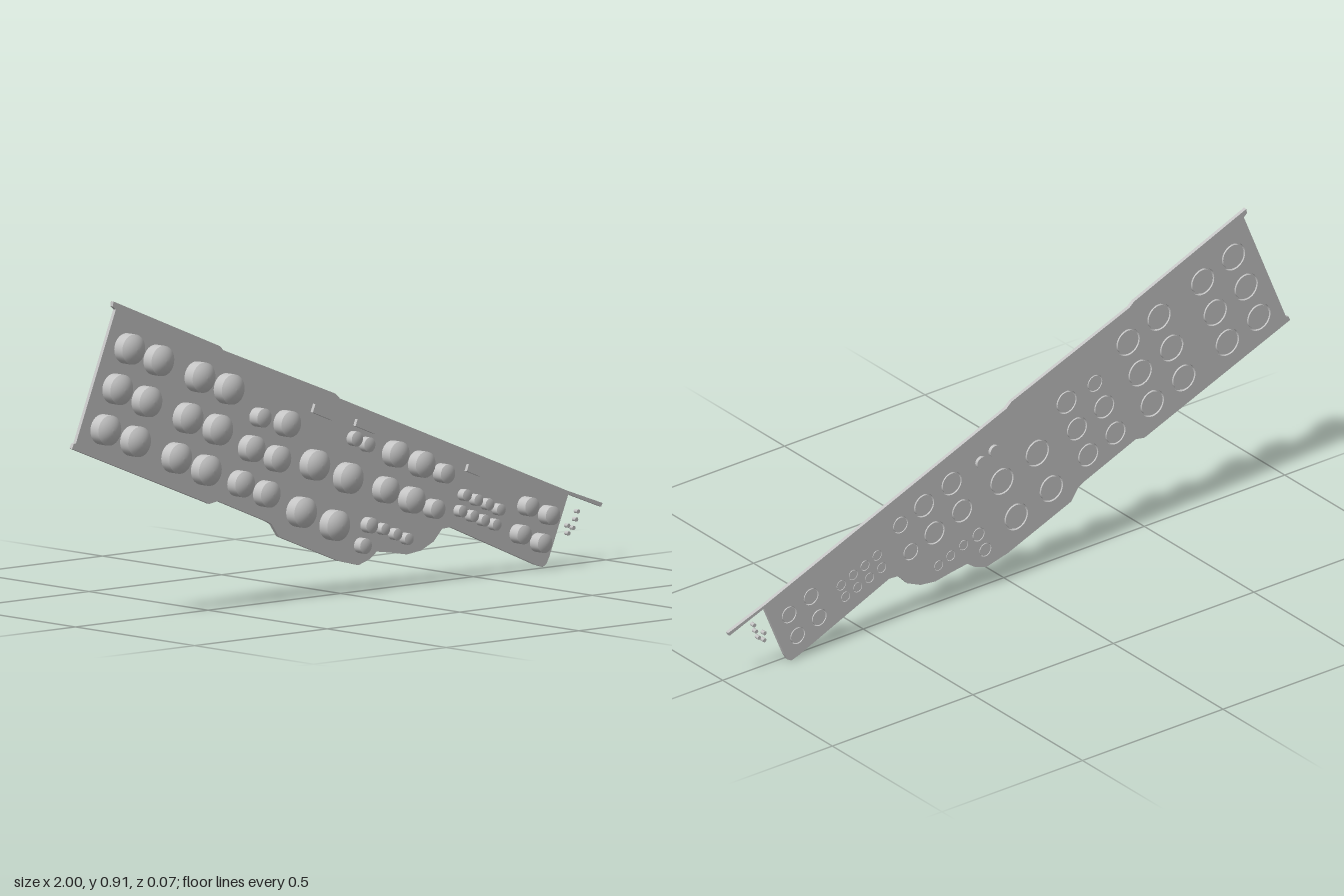
import * as THREE from 'three';

const BACK = -0.025, FRONT = -0.014, TILT = -0.383;

// Outline of the slanted panel, clockwise from the upper corner
const OUTLINE = [
  [-0.844, 0.906], [-0.444, 0.742], [-0.428, 0.728], [-0.008, 0.566], [0.01, 0.55],
  [0.871, 0.206], [1.0, 0.16], [0.995, 0.15], [0.871, 0.197], [0.799, 0.026],
  [0.788, 0.007], [0.775, 0], [0.747, 0.009], [0.427, 0.146], [0.395, 0.144],
  [0.363, 0.111], [0.315, 0.09], [0.262, 0.084], [0.202, 0.095], [0.149, 0.103],
  [0.122, 0.084], [0.08, 0.071], [0.037, 0.082], [0.005, 0.09], [-0.22, 0.18],
  [-0.247, 0.218], [-0.268, 0.229], [-0.45, 0.303], [-0.482, 0.298], [-0.509, 0.309],
  [-1.0, 0.503], [-0.994, 0.516], [-0.985, 0.518], [-0.835, 0.882], [-0.846, 0.892],
];

// Knob groups: radius, front of the straight side, [x, y] centres
const KNOBS = [
  { name: 'largeKnob', r: 0.043, z: 0.02, at: [
    [-0.798, 0.769], [-0.688, 0.726], [-0.843, 0.659], [-0.733, 0.614], [-0.888, 0.548], [-0.776, 0.505],
    [-0.533, 0.664], [-0.423, 0.62], [-0.578, 0.552], [-0.466, 0.509], [-0.621, 0.443], [-0.509, 0.398],
    [-0.1, 0.374], [0.026, 0.325], [-0.15, 0.245], [-0.025, 0.196]] },
  { name: 'mediumKnob', r: 0.037, z: 0.02, at: [
    [-0.204, 0.501], [-0.338, 0.443], [-0.241, 0.405], [-0.378, 0.347], [-0.281, 0.309],
    [0.205, 0.376], [0.303, 0.338], [0.168, 0.278], [0.266, 0.24]] },
  { name: 'smallKnob', r: 0.027, z: 0.02, at: [
    [-0.305, 0.528], [0.387, 0.304], [0.35, 0.207],
    [0.705, 0.18], [0.783, 0.148], [0.676, 0.104], [0.753, 0.072]] },
  { name: 'button', r: 0.022, z: 0.012, at: [[0.109, 0.183], [0.085, 0.127]] },
  { name: 'smallButton', r: 0.0165, z: 0.009, at: [
    [0.162, 0.167], [0.208, 0.148], [0.251, 0.131],
    [0.47, 0.234], [0.513, 0.216], [0.555, 0.2], [0.598, 0.181],
    [0.454, 0.19], [0.497, 0.172], [0.539, 0.156], [0.582, 0.14]] },
];

// Domed knob along z, with a narrower stem reaching back through the panel
function knobGeometry(r, z1, stem, stemBack) {
  const h = 8.5 * r * r, R = (r * r + h * h) / (2 * h), a = Math.asin(r / R);
  const profile = [
    [0, stemBack], [stem, stemBack], [stem, stemBack], [stem, FRONT], [stem, FRONT],
    [r, FRONT], [r, FRONT], [r, z1], [r, z1],
  ].map(p => new THREE.Vector2(...p));
  for (let i = 1; i <= 6; i++) {
    const t = a * (1 - i / 6);
    profile.push(new THREE.Vector2(R * Math.sin(t), z1 + h - R * (1 - Math.cos(t))));
  }
  return new THREE.LatheGeometry(profile, 32).rotateX(Math.PI / 2);
}

export function createModel() {
  const model = new THREE.Group();
  const grey = new THREE.MeshStandardMaterial({ color: 0xc4c4c4 });
  grey.name = 'lightGrey';

  const add = (name, geometry, x = 0, y = 0, z = 0) => {
    const mesh = new THREE.Mesh(geometry, grey);
    mesh.name = name;
    mesh.position.set(x, y, z);
    model.add(mesh);
    return mesh;
  };

  // Panel, pierced behind every knob
  const shape = new THREE.Shape(OUTLINE.map(p => new THREE.Vector2(...p)));
  for (const { r, at } of KNOBS) for (const [x, y] of at) {
    shape.holes.push(new THREE.Path().absarc(x, y, r * 0.97, 0, Math.PI * 2, false));
  }
  add('panel', new THREE.ExtrudeGeometry(shape, {
    depth: FRONT - BACK, bevelEnabled: false, curveSegments: 16,
  }), 0, 0, BACK);

  // Knobs and buttons, leaving a ring groove around each stem at the back
  for (const { name, r, z, at } of KNOBS) {
    const geometry = knobGeometry(r, z, r * 0.85, BACK);
    for (const [x, y] of at) add(name, geometry, x, y);
  }

  // Pair of knobs whose stems stand out behind the panel
  const through = knobGeometry(0.021, 0.008, 0.018, -0.035);
  for (const [x, y] of [[0.056, 0.433], [0.103, 0.412]]) add('throughKnob', through, x, y);

  // Raised slot plates along the upper edge
  for (const [x, y, w, h] of [[-0.06, 0.519, 0.078, 0.025], [0.1, 0.463, 0.078, 0.02], [0.508, 0.3, 0.053, 0.02]]) {
    add('slotPlate', new THREE.BoxGeometry(w, h, 0.01), x, y, FRONT + 0.005).rotation.z = TILT;
  }

  // Tiny loose pins beside the lower end
  const pin = new THREE.CylinderGeometry(0.006, 0.006, 0.014, 12).rotateX(Math.PI / 2);
  for (const [x, y] of [[0.898, 0.147], [0.891, 0.125], [0.881, 0.102], [0.861, 0.11], [0.862, 0.088]]) {
    add('pin', pin, x, y, -0.008);
  }
  return model;
}
